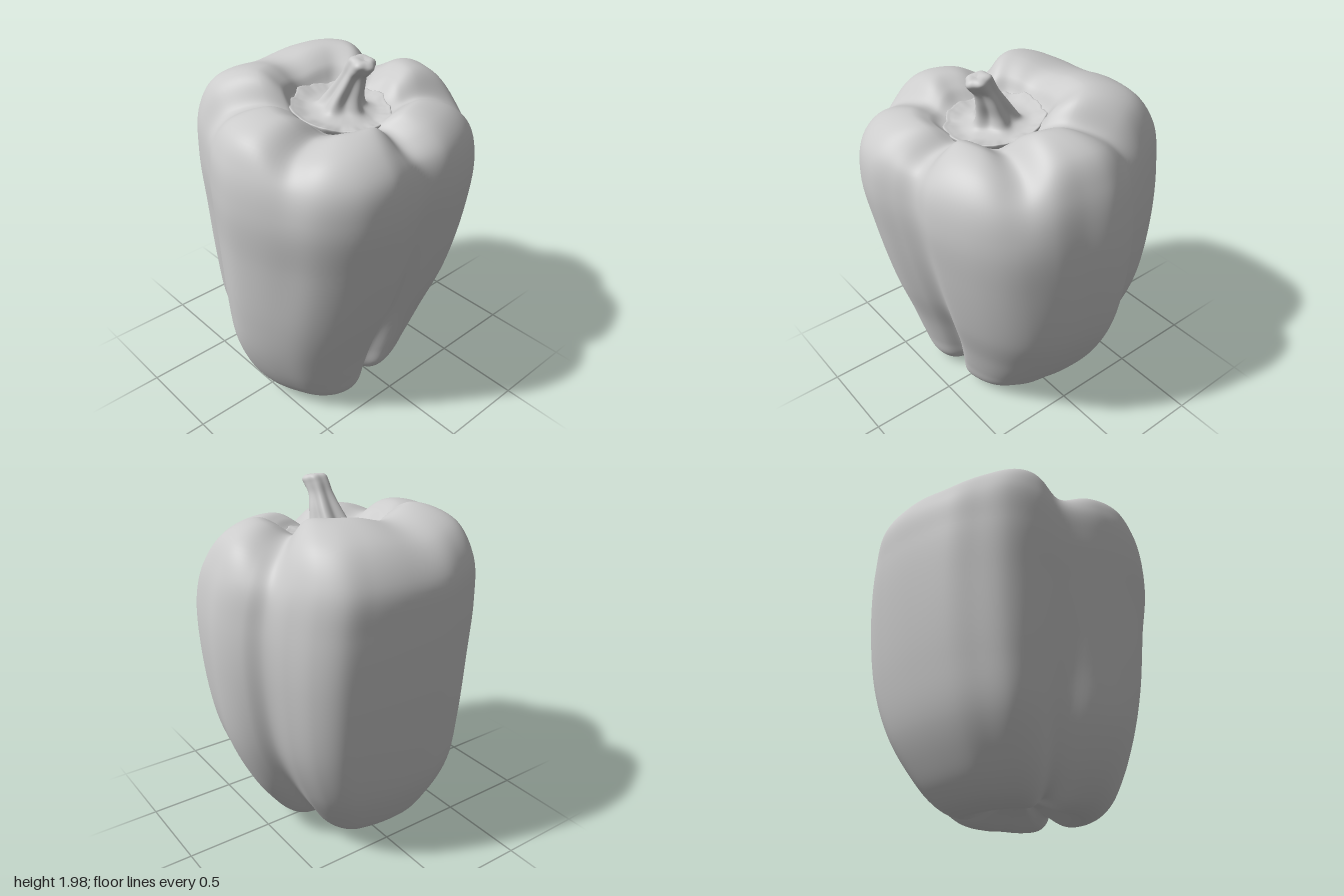
import * as THREE from 'three';

const material = new THREE.MeshStandardMaterial({ color: 0xcccccc, roughness: 0.6, side: THREE.DoubleSide });

// Smooth closed skin: column(t) gives the points of one meridian, bottom to top
function skin(name, columns, steps, column) {
  const pos = [], index = [];
  for (let j = 0; j < columns; j++) {
    const curve = new THREE.CatmullRomCurve3(column(j / columns), false, 'centripetal');
    for (const p of curve.getPoints(steps)) pos.push(p.x, p.y, p.z);
  }
  const row = steps + 1;
  for (let j = 0; j < columns; j++) {
    for (let i = 0; i < steps; i++) {
      const a = j * row + i, b = ((j + 1) % columns) * row + i;
      index.push(a, a + 1, b, b, a + 1, b + 1);
    }
  }
  const geometry = new THREE.BufferGeometry();
  geometry.setAttribute('position', new THREE.Float32BufferAttribute(pos, 3));
  geometry.setIndex(index);
  geometry.computeVertexNormals();
  const mesh = new THREE.Mesh(geometry, material);
  mesh.name = name;
  return mesh;
}

// Widest cross-section of the fruit (x, z)
const outline = new THREE.CatmullRomCurve3([
  [0.775, -0.03], [0.745, 0.15], [0.71, 0.31], [0.63, 0.47], [0.46, 0.6], [0.21, 0.67], [0.04, 0.65],
  [-0.1, 0.69], [-0.25, 0.725], [-0.43, 0.69], [-0.6, 0.56], [-0.7, 0.395], [-0.775, 0.12],
  [-0.73, -0.08], [-0.615, -0.31], [-0.56, -0.46], [-0.46, -0.59], [-0.31, -0.67], [-0.16, -0.725],
  [0.09, -0.735], [0.3, -0.705], [0.44, -0.66], [0.535, -0.56], [0.595, -0.42], [0.645, -0.29], [0.72, -0.2],
].map(([x, z]) => new THREE.Vector3(x, 0, z)), true);

// Grooves: angle, width, how far they run down to the base, height at the shoulder;
// crest is the height of the lobe after each groove
const grooves = [
  { angle: -22, width: 9, low: 0.8, dip: 1.765, crest: 1.83 },
  { angle: 34, width: 8, low: 0.1, dip: 1.71, crest: 1.76 },
  { angle: 88, width: 8, low: 1, dip: 1.665, crest: 1.75 },
  { angle: 146, width: 8, low: 0.05, dip: 1.71, crest: 1.81 },
  { angle: 205, width: 14, low: 1, dip: 1.755, crest: 1.885 },
];

// Levels: y, x min, x max, z min, z max, groove depth, groove lift, lobe crest weight, is low
const levels = [
  [0.13, -0.09, -0.08, -0.01, 0, 0, 0, 0, 1],
  [0.085, -0.2, 0.05, -0.14, 0.13, 0.1, 0.04, 0, 1],
  [0.015, -0.38, 0.2, -0.28, 0.28, 0.15, 0.07, 0, 1],
  [0.035, -0.46, 0.29, -0.38, 0.36, 0.17, 0.05, 0, 1],
  [0.1, -0.54, 0.38, -0.46, 0.42, 0.17, 0.02, 0, 1],
  [0.22, -0.62, 0.48, -0.54, 0.455, 0.14, 0, 0, 1],
  [0.42, -0.695, 0.61, -0.63, 0.51, 0.1, 0, 0, 1],
  [0.7, -0.735, 0.725, -0.685, 0.6, 0.05, 0, 0, 1],
  [1.1, -0.76, 0.775, -0.725, 0.69, 0.01, 0, 0, 0],
  [1.4, -0.78, 0.765, -0.735, 0.73, 0.01, 0, 0.05, 0],
  [1.59, -0.755, 0.715, -0.715, 0.7, 0.03, 0, 0.35, 0],
  [1.7, -0.68, 0.62, -0.58, 0.6, 0.06, 0, 0.85, 0],
  [1.75, -0.48, 0.43, -0.33, 0.46, 0.04, 0, 1, 0],
  [1.725, -0.37, 0.31, -0.21, 0.39, 0.03, 0, 0.7, 0],
  [1.68, -0.28, 0.21, -0.14, 0.33, 0.01, 0, 0.25, 0],
  [1.65, -0.04, -0.02, 0.08, 0.1, 0, 0, 0, 0],
];

function bodyColumn(t) {
  const p = outline.getPoint(t);
  let deg = THREE.MathUtils.radToDeg(Math.atan2(p.z, p.x));
  if (deg < grooves[0].angle) deg += 360;
  // Nearest groove, and the lobe this meridian lies on
  let near = grooves[0], gap = 360, lobe = grooves[0];
  for (const g of grooves) {
    const d = Math.abs(((deg - g.angle + 540) % 360) - 180);
    if (d < gap) { gap = d; near = g; }
    if (deg >= g.angle) lobe = g;
  }
  const sharp = Math.exp(-((gap / near.width) ** 2)), soft = Math.exp(-((gap / 12) ** 2));
  // The wide rear lobe is split by a faint saddle
  const saddle = 0.045 * Math.exp(-(((deg - 264) / 18) ** 2));
  const crest = THREE.MathUtils.lerp(lobe.crest, near.dip, soft) - saddle;
  return levels.map(([y, x0, x1, z0, z1, depth, lift, weight, low]) => {
    const run = low ? near.low : 1;
    const k = 1 - depth * sharp * run;
    return new THREE.Vector3(
      (x0 + x1) / 2 + (x1 - x0) / 2 * (p.x / 0.775) * k,
      y + lift * soft * run + weight * (crest - 1.75),
      (z0 + z1) / 2 + (z1 - z0) / 2 * (p.z / 0.735) * k);
  });
}

// Stalk levels from the calyx rim to the cut end: y, centre x, centre z, radius, rib depth, tilt
const stalk = [
  [1.66, -0.035, 0.09, 0.24, 0, -0.12],
  [1.715, -0.035, 0.09, 0.262, 0, -0.12],
  [1.71, -0.035, 0.09, 0.235, 0, -0.12],
  [1.7, -0.03, 0.09, 0.18, 0.02, -0.1],
  [1.715, -0.025, 0.09, 0.125, 0.1, -0.05],
  [1.76, -0.02, 0.1, 0.098, 0.15, 0],
  [1.83, -0.012, 0.13, 0.078, 0.14, 0],
  [1.9, -0.008, 0.165, 0.062, 0.1, -0.1],
  [1.945, -0.004, 0.195, 0.063, 0.07, -0.3],
  [1.975, 0, 0.215, 0.062, 0.07, -0.3],
  [1.99, 0, 0.22, 0.04, 0.06, -0.2],
  [1.985, 0, 0.22, 0.001, 0, 0],
];

function stalkColumn(t) {
  const a = t * Math.PI * 2;
  const rib = Math.cos(5 * (a - Math.PI / 2));
  const ragged = 0.5 * Math.sin(7 * a + 1) + 0.35 * Math.sin(13 * a) + 0.12 * Math.sin(31 * a + 2);
  return stalk.map(([y, cx, cz, r, depth, tilt], i) => {
    const rim = i < 3 ? ragged : 0;
    const radius = r * (1 + depth * rib) + rim * 0.012;
    const dz = Math.sin(a) * radius;
    return new THREE.Vector3(cx + Math.cos(a) * radius, y + dz * tilt + rim * 0.01, cz + dz);
  });
}

export function createModel() {
  const group = new THREE.Group();
  group.name = 'bellPepper';
  group.add(skin('body', 240, 110, bodyColumn));
  group.add(skin('stalkAndCalyx', 120, 50, stalkColumn));
  return group;
}
